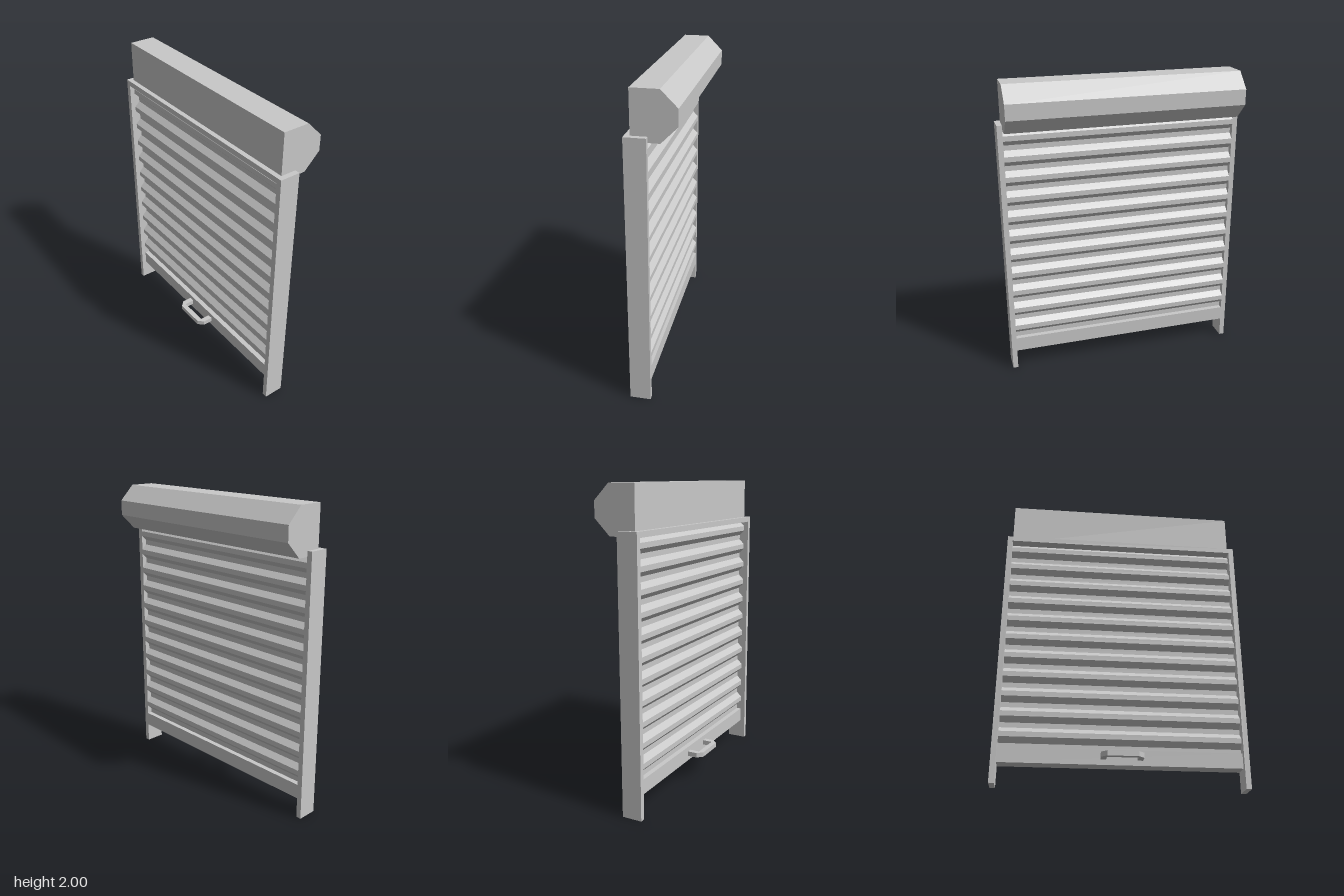
import * as THREE from 'three';

const BACK = -0.117, FRONT = 0.015;      // depth range of the frame
const PANEL_BACK = -0.085;               // curtain sits recessed at the back
const INNER = 0.766, OUTER = 0.8;        // half widths inside and outside the rails

export function createModel() {
  const group = new THREE.Group();
  group.name = 'rollerShutter';
  const steel = new THREE.MeshStandardMaterial({ color: 0xc8c8c8 });
  steel.name = 'grey steel';

  const add = (name, geometry, x = 0, y = 0, z = 0) => {
    const mesh = new THREE.Mesh(geometry, steel);
    mesh.name = name;
    mesh.position.set(x, y, z);
    group.add(mesh);
  };
  const extrude = (points, depth) => new THREE.ExtrudeGeometry(
    new THREE.Shape(points.map(([x, y]) => new THREE.Vector2(x, y))),
    { depth, bevelEnabled: false });
  const depth = FRONT - BACK, midX = (FRONT + BACK) / 2;

  // Side rails
  for (const s of [-1, 1]) {
    add(s > 0 ? 'leftRail' : 'rightRail',
      new THREE.BoxGeometry(depth, 1.735, OUTER - INNER),
      midX, 1.735 / 2, s * (INNER + OUTER) / 2);
  }

  // Header joining the rails, and bottom bar closing the curtain
  add('header', new THREE.BoxGeometry(depth, 0.035, 2 * INNER), midX, 1.7175, 0);
  add('bottomBar', new THREE.BoxGeometry(FRONT - PANEL_BACK, 0.097, 2 * INNER),
    (FRONT + PANEL_BACK) / 2, 0.1835, 0);

  // Curtain slats: narrow neck, flare out, flat rib, taper back in
  const bottom = 0.232, count = 11, pitch = (1.7 - bottom) / count, q = pitch / 4;
  const neckF = FRONT - q, neckB = PANEL_BACK + q;
  const slat = extrude([
    [neckB, 0], [neckF, 0], [neckF, q], [FRONT, 2 * q], [FRONT, 3 * q], [neckF, 4 * q],
    [neckB, 4 * q], [PANEL_BACK, 3 * q], [PANEL_BACK, 2 * q], [neckB, q],
  ], 2 * INNER);
  for (let i = 0; i < count; i++) add('slat' + (i + 1), slat, 0, bottom + i * pitch, -INNER);

  // Roller housing with chamfered front
  add('rollerHousing', extrude([
    [-0.085, 1.7], [0.085, 1.7], [0.185, 1.8], [0.185, 1.9], [0.085, 2], [-0.085, 2],
  ], 2 * INNER), 0, 0, -INNER);

  // Pull handle on the back of the bottom bar
  const handle = extrude([
    [PANEL_BACK, -0.133], [PANEL_BACK, -0.098], [-0.151, -0.098], [-0.151, 0.098],
    [PANEL_BACK, 0.098], [PANEL_BACK, 0.133], [-0.15, 0.133], [-0.185, 0.098],
    [-0.185, -0.098], [-0.15, -0.133],
  ], 0.032);
  handle.rotateX(Math.PI / 2);
  add('pullHandle', handle, 0, 0.2, 0);

  return group;
}
